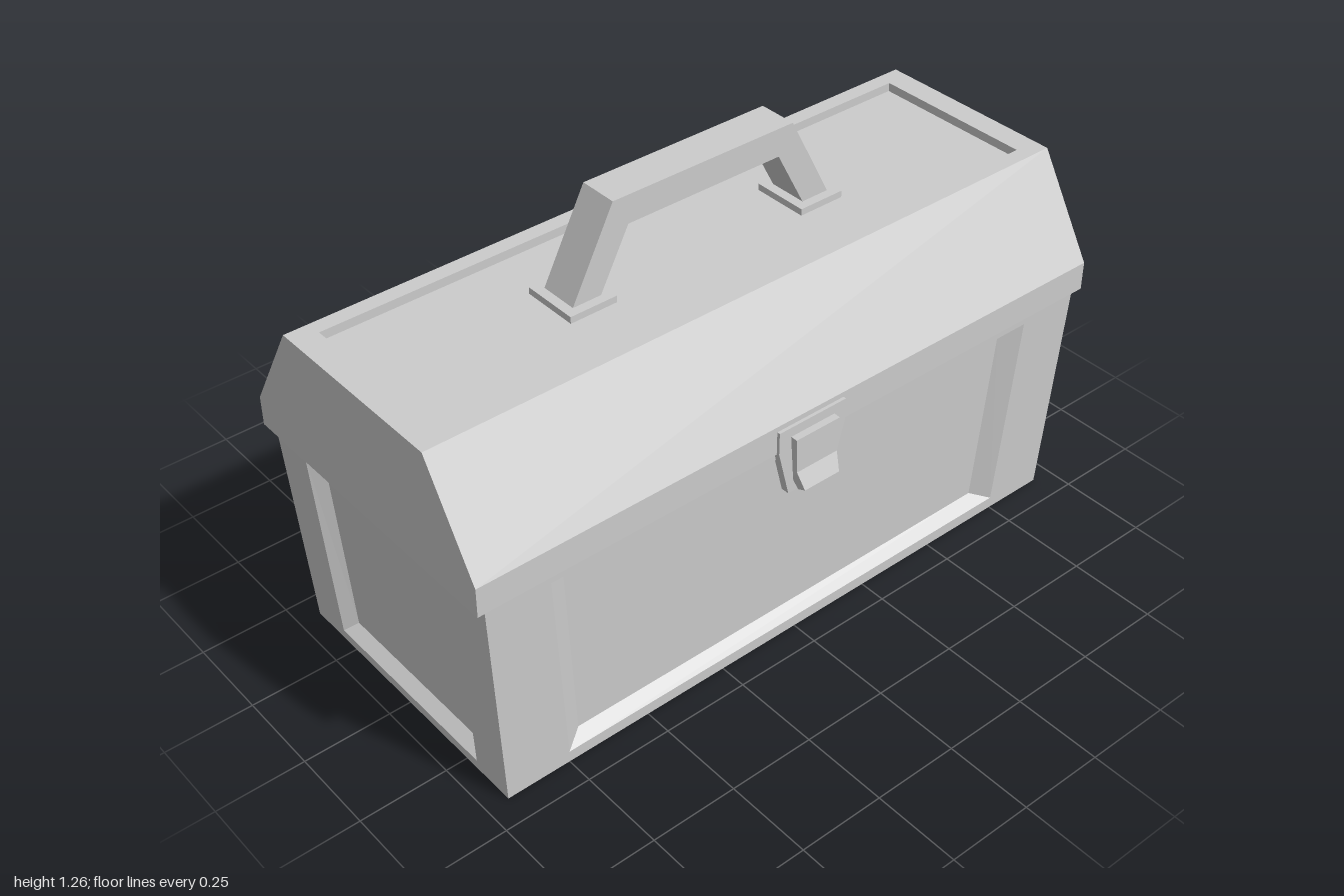
import * as THREE from 'three';
import { mergeVertices } from 'three/addons/utils/BufferGeometryUtils.js';

const material = new THREE.MeshStandardMaterial({ color: 0xcccccc, flatShading: true });

function mesh(name, geometry) {
  const m = new THREE.Mesh(geometry, material);
  m.name = name;
  return m;
}

// Joins successive four-cornered rings with quads and closes the last ring
function addRings(out, rings) {
  const quad = (a, b, c, d) => out.push(...a, ...b, ...c, ...a, ...c, ...d);
  for (let r = 0; r < rings.length - 1; r++) {
    for (let i = 0; i < 4; i++) {
      const j = (i + 1) % 4;
      quad(rings[r][i], rings[r][j], rings[r + 1][j], rings[r + 1][i]);
    }
  }
  quad(...rings[rings.length - 1]);
}

function toGeometry(positions) {
  const g = new THREE.BufferGeometry();
  g.setAttribute('position', new THREE.Float32BufferAttribute(positions, 3));
  const merged = mergeVertices(g);
  merged.computeVertexNormals();
  return merged;
}

// Horizontal rectangle, counter-clockwise from above
const rect = (hx, hz, y) => [[-hx, y, hz], [hx, y, hz], [hx, y, -hz], [-hx, y, -hz]];

const H = 0.656;

// Tapered box with a bevelled, sunken panel on each side
function bodyGeometry() {
  const out = [];
  const long = { bottom: 0.937, top: 0.975 };
  const short = { bottom: 0.426, top: 0.445 };
  const depth = 0.035;
  for (let k = 0; k < 4; k++) {
    const end = k % 2 === 0;
    const [half, dist] = end ? [short, long] : [long, short];
    const at = (u, y, inset) => {
      const d = dist.bottom + (dist.top - dist.bottom) * y / H - inset;
      const c = Math.cos(k * Math.PI / 2), s = Math.sin(k * Math.PI / 2);
      return [u * c + d * s, y, d * c - u * s];
    };
    const ring = (ub, yb, ut, yt, inset) =>
      [at(-ub, yb, inset), at(ub, yb, inset), at(ut, yt, inset), at(-ut, yt, inset)];
    addRings(out, [
      ring(half.bottom, 0, half.top, H, 0),
      end ? ring(0.3, 0.03, 0.315, 0.628, 0) : ring(0.75, 0.035, 0.79, 0.628, 0),
      end ? ring(0.275, 0.055, 0.287, 0.602, depth) : ring(0.695, 0.06, 0.73, 0.602, depth),
    ]);
  }
  addRings(out, [rect(short.bottom, long.bottom, 0).reverse()]);
  addRings(out, [rect(short.top, long.top, H)]);
  return toGeometry(out);
}

// Sloped lid with an overhanging lip and a shallow tray in the top
function lidGeometry() {
  const out = [];
  addRings(out, [
    rect(0.455, 1, H), rect(0.455, 1, 0.74), rect(0.285, 1, 1.02),
    rect(0.24, 0.93, 1.02), rect(0.24, 0.93, 0.995),
  ]);
  addRings(out, [rect(0.455, 1, H).reverse()]);
  return toGeometry(out);
}

// Extrudes a flat outline to a depth centred on zero
function slab(points, depth) {
  const shape = new THREE.Shape(points.map(([x, y]) => new THREE.Vector2(x, y)));
  return new THREE.ExtrudeGeometry(shape, { depth, bevelEnabled: false }).translate(0, 0, -depth / 2);
}

function createHandle() {
  const g = new THREE.Group();
  g.name = 'handle';
  const grip = slab([
    [-0.42, 1], [-0.285, 1.26], [0.285, 1.26], [0.42, 1],
    [0.335, 1], [0.24, 1.18], [-0.24, 1.18], [-0.335, 1],
  ], 0.112).rotateY(Math.PI / 2);
  g.add(mesh('handleGrip', grip));
  for (const s of [-1, 1]) {
    const plate = mesh('handleBasePlate', new THREE.BoxGeometry(0.165, 0.02, 0.14));
    plate.position.set(0, 1.004, s * 0.37);
    g.add(plate);
  }
  return g;
}

function createLatch() {
  const g = new THREE.Group();
  g.name = 'latch';
  // Backing plate, narrowing towards the bottom
  const plate = slab([
    [-0.075, 0.52], [0.075, 0.52], [0.11, 0.66], [0.11, 0.725], [-0.11, 0.725], [-0.11, 0.66],
  ], 0.024).rotateY(Math.PI / 2).translate(0.452, 0, 0);
  g.add(mesh('latchPlate', plate));

  // Clasp with a flared finger lip, narrowing towards the bottom
  const clasp = slab([
    [0.46, 0.56], [0.478, 0.532], [0.505, 0.546], [0.484, 0.595], [0.484, 0.697], [0.46, 0.697],
  ], 0.144);
  const p = clasp.attributes.position;
  for (let i = 0; i < p.count; i++) {
    const t = Math.min(1, Math.max(0, (0.62 - p.getY(i)) / 0.09));
    p.setZ(i, p.getZ(i) * (1 - 0.24 * t));
  }
  clasp.computeVertexNormals();
  g.add(mesh('latchClasp', clasp));
  return g;
}

function createHinge(z) {
  const g = new THREE.Group();
  g.name = 'hinge';
  const leaf = mesh('hingeLeaf', new THREE.BoxGeometry(0.035, 0.078, 0.156));
  leaf.position.set(-0.4625, 0.68, 0);
  const barrel = slab([
    [-0.475, 0.65], [-0.475, 0.71], [-0.487, 0.706], [-0.5, 0.692], [-0.5, 0.668], [-0.487, 0.654],
  ], 0.14);
  g.add(leaf, mesh('hingeBarrel', barrel));
  g.position.z = z;
  return g;
}

export function createModel() {
  const model = new THREE.Group();
  model.name = 'toolbox';
  model.add(
    mesh('body', bodyGeometry()),
    mesh('lid', lidGeometry()),
    createHandle(),
    createLatch(),
    createHinge(0.583),
    createHinge(-0.583),
  );
  for (const part of model.children) part.position.x -= 0.004;
  return model;
}
